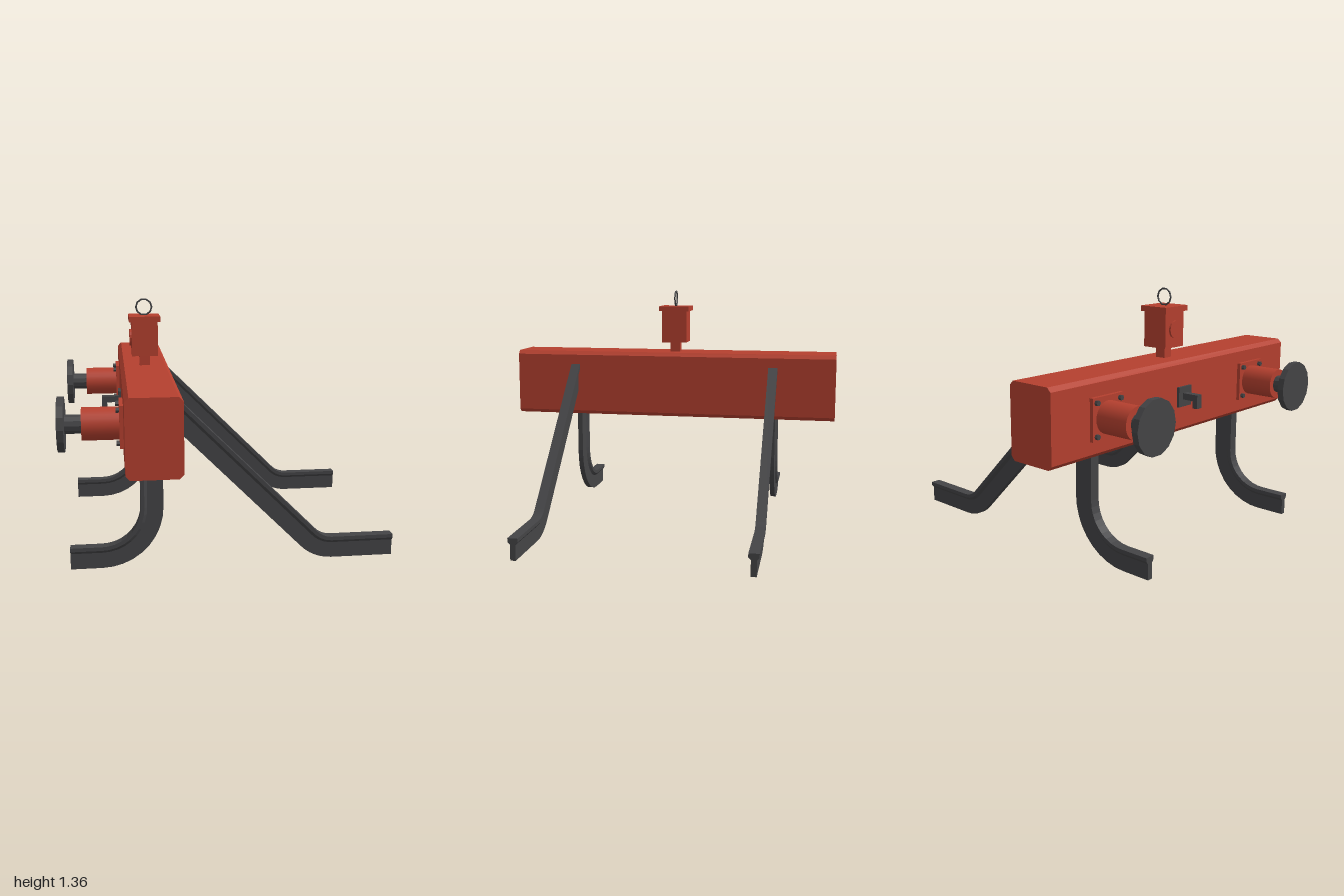
import * as THREE from 'three';

const red = new THREE.MeshStandardMaterial({ color: 0xb5402f, flatShading: true });
const redSmooth = new THREE.MeshStandardMaterial({ color: 0xb5402f });
const dark = new THREE.MeshStandardMaterial({ color: 0x444446, flatShading: true });

// Rail cross-section as (z, height above the web's lower edge), counter-clockwise
const railSection = [
  [-0.015, 0], [0.015, 0], [0.015, 0.085], [0.028, 0.1],
  [0.028, 0.12], [-0.028, 0.12], [-0.028, 0.1], [-0.015, 0.085],
].map(([z, h]) => new THREE.Vector2(z, h));

function add(parent, name, geometry, material, x, y, z) {
  const mesh = new THREE.Mesh(geometry, material);
  mesh.name = name;
  mesh.position.set(x, y, z);
  parent.add(mesh);
  return mesh;
}

// Box given by its extents in x and y and its centre and width in z
function block(parent, name, material, x0, x1, y0, y1, z, depth) {
  return add(parent, name, new THREE.BoxGeometry(x1 - x0, y1 - y0, depth),
    material, (x0 + x1) / 2, (y0 + y1) / 2, z);
}

// Cylinder lying along x
function rod(parent, name, material, x0, x1, y, z, radius, sides) {
  const g = new THREE.CylinderGeometry(radius, radius, x1 - x0, sides).rotateZ(Math.PI / 2);
  return add(parent, name, g, material, (x0 + x1) / 2, y, z);
}

// Path stations {x, y, angle}: straight, arc, straight; the rail head faces the arc centre
function bentPath(start, cx, cy, radius, a0, a1, end, steps = 9) {
  const path = [{ x: start[0], y: start[1], a: a0 }];
  for (let i = 0; i <= steps; i++) {
    const a = a0 + (a1 - a0) * i / steps;
    path.push({ x: cx + radius * Math.cos(a), y: cy + radius * Math.sin(a), a });
  }
  path.push({ x: end[0], y: end[1], a: a1 });
  return path;
}

// Sweep the rail section along a bent path
function railGeometry(path) {
  const n = railSection.length, positions = [], index = [];
  for (const p of path) {
    for (const s of railSection) {
      positions.push(p.x - Math.cos(p.a) * s.y, p.y - Math.sin(p.a) * s.y, s.x);
    }
  }
  for (let i = 0; i < path.length - 1; i++) {
    for (let j = 0; j < n; j++) {
      const a = i * n + j, b = i * n + (j + 1) % n;
      index.push(a, a + n, b + n, a, b + n, b);
    }
  }
  const last = (path.length - 1) * n;
  for (const [a, b, c] of THREE.ShapeUtils.triangulateShape(railSection, [])) {
    index.push(a, b, c, last + a, last + c, last + b);
  }
  const g = new THREE.BufferGeometry();
  g.setAttribute('position', new THREE.Float32BufferAttribute(positions, 3));
  g.setIndex(index);
  const flat = g.toNonIndexed();
  flat.computeVertexNormals();
  return flat;
}

// Cross beam with chamfered long edges
function beamGeometry() {
  const w = 0.14, h = 0.2, c = 0.022;
  const shape = new THREE.Shape([
    [-w + c, -h], [w - c, -h], [w, -h + c], [w, h - c],
    [w - c, h], [-w + c, h], [-w, h - c], [-w, -h + c],
  ].map(([x, y]) => new THREE.Vector2(x, y)));
  return new THREE.ExtrudeGeometry(shape, { depth: 2, bevelEnabled: false }).translate(0, 0, -1);
}

function buffer(z) {
  const g = new THREE.Group();
  g.name = 'buffer';
  const y = 0.78;
  block(g, 'bufferPlate', red, -0.58, -0.55, y - 0.11, y + 0.11, z, 0.22);
  for (const sy of [-1, 1]) for (const sz of [-1, 1]) {
    rod(g, 'bolt', dark, -0.597, -0.575, y + sy * 0.085, z + sz * 0.085, 0.014, 6);
  }
  rod(g, 'bufferSleeve', redSmooth, -0.77, -0.57, y, z, 0.085, 24);
  rod(g, 'bufferRod', dark, -0.87, -0.76, y, z, 0.05, 12);
  rod(g, 'bufferHead', dark, -0.89, -0.855, y, z, 0.142, 14);
  return g;
}

function lamp() {
  const g = new THREE.Group();
  g.name = 'lamp';
  const x = -0.418;
  block(g, 'lampPost', red, x - 0.03, x + 0.03, 0.97, 1.05, 0, 0.06);
  block(g, 'lampBody', red, x - 0.074, x + 0.074, 1.04, 1.24, 0, 0.156);
  block(g, 'lampLid', red, x - 0.088, x + 0.088, 1.235, 1.265, 0, 0.186);
  rod(g, 'lampLens', red, -0.503, -0.48, 1.14, 0, 0.048, 16);
  add(g, 'lampRing', new THREE.TorusGeometry(0.045, 0.005, 6, 10), dark, x, 1.312, 0);
  return g;
}

function hook() {
  const g = new THREE.Group();
  g.name = 'hook';
  block(g, 'hookPlate', dark, -0.575, -0.55, 0.725, 0.835, 0, 0.11);
  block(g, 'hookArm', dark, -0.67, -0.57, 0.765, 0.8, 0, 0.04);
  block(g, 'hookTip', dark, -0.67, -0.64, 0.725, 0.766, 0, 0.04);
  return g;
}

export function createModel() {
  const model = new THREE.Group();
  model.name = 'bufferStop';
  add(model, 'beam', beamGeometry(), red, -0.42, 0.78, 0);

  // Upright legs curve up into the beam, struts slope down to the ground
  const down = -Math.PI / 2;
  const leg = railGeometry(bentPath([-0.85, 0], -0.685, 0.325, 0.325, down, 0, [-0.36, 0.62]));
  const strut = railGeometry(bentPath([-0.38, 0.83], 0.55, 0.24, 0.24, down * 1.5, down, [0.887, 0], 6));
  for (const side of [-1, 1]) {
    add(model, 'frontLeg', leg, dark, 0, 0, side * 0.622);
    add(model, 'rearStrut', strut, dark, 0, 0, side * 0.622);
    model.add(buffer(side * 0.63));
  }
  model.add(lamp(), hook());
  return model;
}
